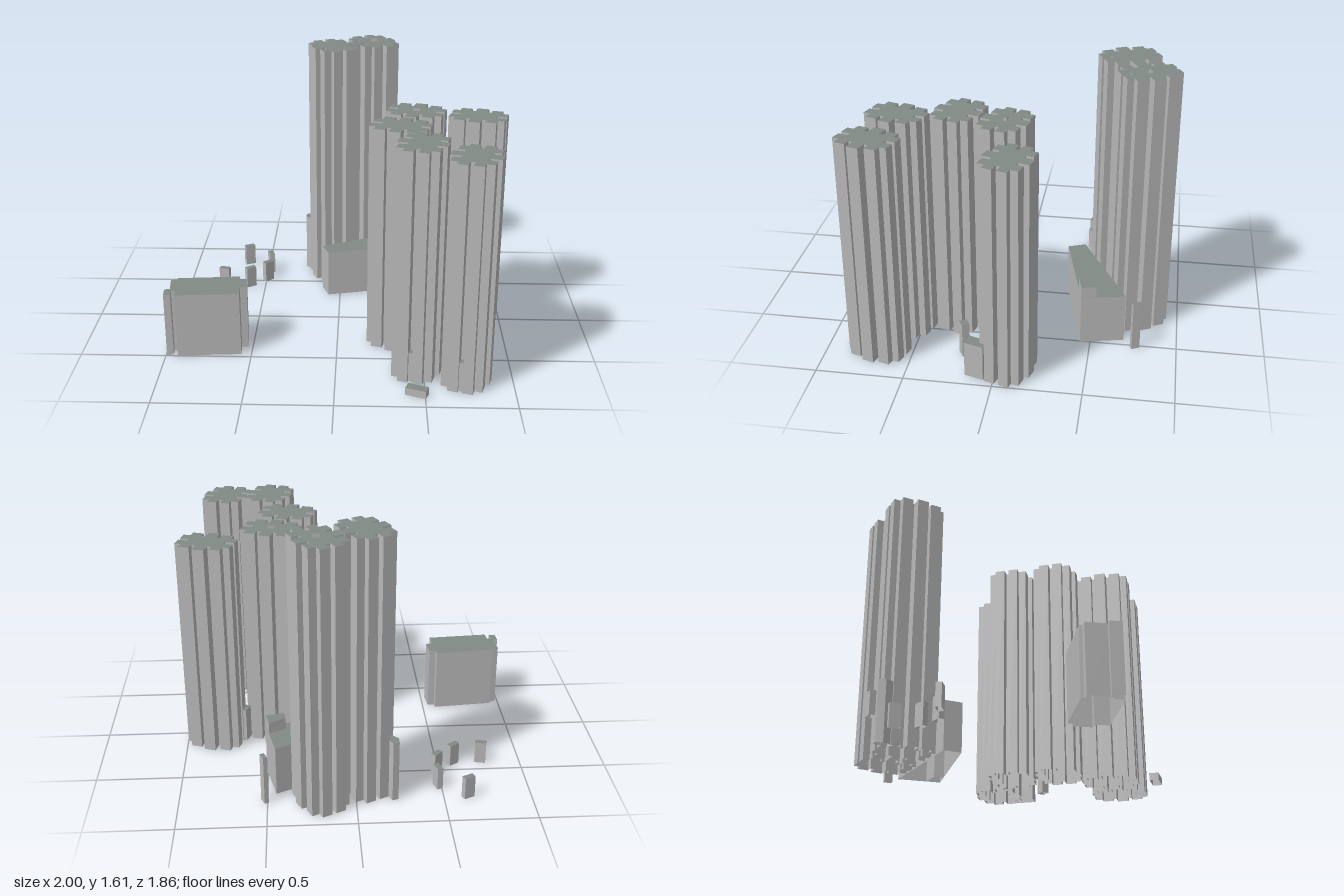
import * as THREE from 'three';

const wall = new THREE.MeshStandardMaterial({ color: 0xb8b8b8, side: THREE.DoubleSide });
wall.name = 'wall grey';
const roof = new THREE.MeshStandardMaterial({ color: 0x828a86, side: THREE.DoubleSide });
roof.name = 'roof grey green';

// Turn local points by an angle (degrees, x towards z) and move them to a centre
function place(points, cx, cz, degrees) {
  const a = THREE.MathUtils.degToRad(degrees), c = Math.cos(a), s = Math.sin(a);
  return points.map(([u, v]) => [cx + u * c - v * s, cz + u * s + v * c]);
}

// Upright block over an [x, z] outline: flat walls and a roof, open underneath
function block(name, outline, height, base = 0) {
  const group = new THREE.Group();
  group.name = name;
  let pts = outline.map(([x, z]) => new THREE.Vector2(x, -z));
  if (THREE.ShapeUtils.isClockWise(pts)) pts = pts.reverse();

  const pos = [];
  pts.forEach((a, i) => {
    const b = pts[(i + 1) % pts.length];
    const quad = [[a, base], [b, base], [b, height], [a, base], [b, height], [a, height]];
    for (const [p, y] of quad) pos.push(p.x, y, -p.y);
  });
  const sides = new THREE.BufferGeometry();
  sides.setAttribute('position', new THREE.Float32BufferAttribute(pos, 3));
  sides.computeVertexNormals();
  const walls = new THREE.Mesh(sides, wall);
  walls.name = name + 'Walls';

  const top = new THREE.ShapeGeometry(new THREE.Shape(pts));
  top.rotateX(-Math.PI / 2);
  top.translate(0, height, 0);
  const cap = new THREE.Mesh(top, roof);
  cap.name = name + 'Roof';
  group.add(walls, cap);
  return group;
}

function box(name, cx, cz, w, d, degrees, height, base = 0) {
  const r = [[-w / 2, -d / 2], [w / 2, -d / 2], [w / 2, d / 2], [-w / 2, d / 2]];
  return block(name, place(r, cx, cz, degrees), height, base);
}

// Toothed tower plan: one quarter, mirrored to all four
function towerPlan() {
  const q = [[0.11, 0.013], [0.165, 0.013], [0.165, 0.072], [0.125, 0.072], [0.125, 0.118],
    [0.06, 0.118], [0.06, 0.075], [0.035, 0.075], [0.035, 0.138]];
  const half = [...q, ...q.map(([u, v]) => [-u, v]).reverse()];
  return [...half, ...half.map(([u, v]) => [u, -v]).reverse()];
}

export function createModel() {
  const model = new THREE.Group();
  model.name = 'cityBlock';

  // Residential towers: x, z, angle, height
  const plan = towerPlan();
  const towers = [
    [0.45, 0, 17, 1.36], [0.82, -0.07, 17, 1.31], [0.355, 0.275, 17, 1.36],
    [0.465, 0.6, 107, 1.37], [0.74, 0.695, 107, 1.335],
    [-0.05, -0.635, 64, 1.585], [0.2, -0.755, 64, 1.585],
  ];
  for (const [x, z, a, h] of towers) model.add(block('tower', place(plan, x, z, a), h));

  // Roof plant boxes
  model.add(box('roofPlant', 0.45, 0, 0.04, 0.022, 0, 1.378, 1.36));
  model.add(box('roofPlant', 0.205, -0.755, 0.04, 0.022, 0, 1.605, 1.585));

  // Low porches filling the end notches of two towers
  model.add(box('porch', 0.427, 0.715, 0.055, 0.026, 107, 0.18));
  model.add(box('porch', 0.702, 0.81, 0.055, 0.026, 107, 0.18));

  // Podium beside the tall pair, with its raised corner
  model.add(block('podium', [[-0.115, -0.41], [0.45, -0.693], [0.508, -0.442], [-0.075, -0.308]], 0.3));
  model.add(block('podiumCorner', [[0.39, -0.475], [0.485, -0.525], [0.507, -0.441], [0.4, -0.417]], 0.37));

  // Long slab building with stepped ends
  model.add(block('slabBuilding', [[-0.945, 0.275], [-0.58, 0.243], [-0.575, 0.275], [-0.535, 0.273],
    [-0.525, 0.38], [-0.565, 0.385], [-0.56, 0.47], [-0.93, 0.497], [-0.935, 0.44], [-0.965, 0.44],
    [-0.983, 0.3], [-0.945, 0.292]], 0.395));
  model.add(box('slabStair', -0.978, 0.455, 0.04, 0.07, -4, 0.395));

  // Annexes next to the towers
  model.add(block('annex', [[-0.24, -0.78], [-0.205, -0.793], [-0.17, -0.72], [-0.185, -0.68], [-0.24, -0.735]], 0.373));
  model.add(box('annex', 0.898, 0.1, 0.075, 0.115, 17, 0.215));
  model.add(box('annex', 0.715, 0.203, 0.055, 0.045, -30, 0.21));
  model.add(box('annex', 0.645, -0.065, 0.045, 0.07, 22, 0.21));
  model.add(box('annex', 0.515, -0.76, 0.025, 0.05, -25, 0.3));
  model.add(box('lowShed', 0.455, 0.876, 0.12, 0.055, 20, 0.045));

  // Ring of small huts
  const huts = [[-0.638, -0.775, -25], [-0.478, -0.662, 72], [-0.488, -0.52, -43],
    [-0.597, -0.427, -33], [-0.765, -0.416, 12]];
  for (const [x, z, a] of huts) model.add(box('hut', x, z, 0.066, 0.034, a, 0.135));

  return model;
}
